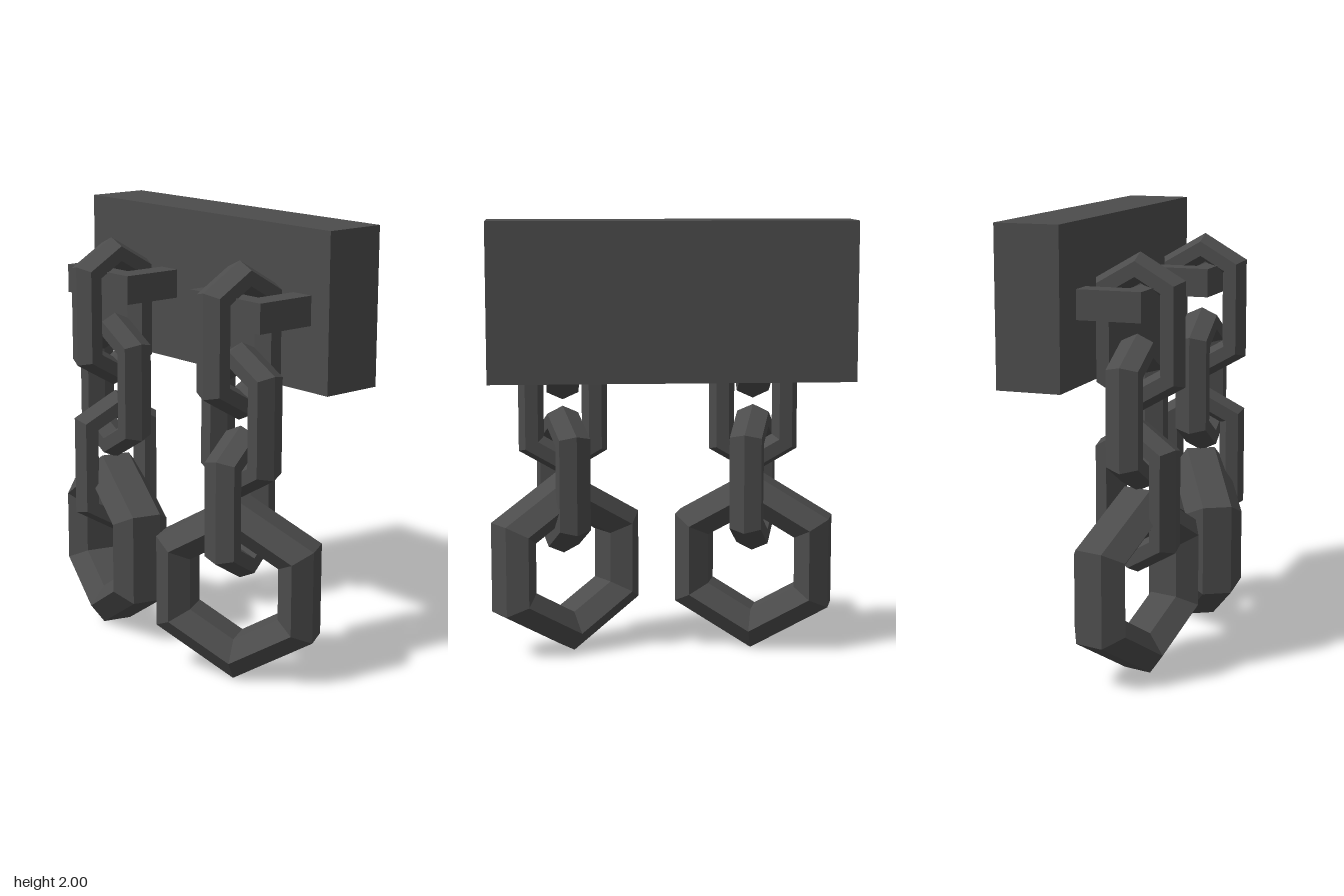
import * as THREE from 'three';

const iron = new THREE.MeshStandardMaterial({ color: 0x4c4c4c, flatShading: true });

// Six-cornered loop swept with a six-sided section; profile points are [radial, depth],
// stretch pulls the upper and lower halves apart
function hexLoop(radius, profile, stretch) {
  const n = profile.length, pos = [], index = [];
  for (let i = 0; i < 6; i++) {
    const a = Math.PI / 6 + (i * Math.PI) / 3;
    for (const [r, z] of profile) {
      pos.push(Math.cos(a) * (radius + r), Math.sin(a) * (radius + r) + Math.sign(Math.sin(a)) * stretch, z);
    }
  }
  for (let i = 0; i < 6; i++) {
    for (let j = 0; j < n; j++) {
      const i2 = (i + 1) % 6, j2 = (j + 1) % n;
      const a = i * n + j, b = i2 * n + j, c = i2 * n + j2, d = i * n + j2;
      index.push(a, b, c, a, c, d);
    }
  }
  const g = new THREE.BufferGeometry();
  g.setAttribute('position', new THREE.Float32BufferAttribute(pos, 3));
  g.setIndex(index);
  const flat = g.toNonIndexed();
  flat.computeVertexNormals();
  return flat;
}

// Hexagonal section: half thickness along the radius, half width, starting angle
function section(radial, width, start) {
  const pts = [];
  const kr = start ? Math.cos(Math.PI / 6) : 1, kw = start ? 1 : Math.cos(Math.PI / 6);
  for (let i = 0; i < 6; i++) {
    const a = start + (i * Math.PI) / 3;
    pts.push([(Math.cos(a) * radial) / kr, (Math.sin(a) * width) / kw]);
  }
  return pts;
}

function part(parent, name, geometry, x, y, z, turn = 0) {
  const m = new THREE.Mesh(geometry, iron);
  m.name = name;
  m.position.set(x, y, z);
  m.rotation.y = turn;
  parent.add(m);
  return m;
}

export function createModel() {
  const model = new THREE.Group();
  model.name = 'wallChains';

  // Mounting block
  part(model, 'wallBlock', new THREE.BoxGeometry(1.61, 0.7, 0.29), -0.005, 1.65, -0.23);

  // Links have a ridged outer edge, the shackle a flat outer edge
  const link = hexLoop(0.168, section(0.067, 0.074, 0), 0.11);
  const shackle = hexLoop(0.324, section(0.091, 0.135, Math.PI / 6), 0);
  const bar = new THREE.BoxGeometry(0.445, 0.13, 0.09);
  const leg = new THREE.BoxGeometry(0.11, 0.13, 0.22);

  const chains = [
    { name: 'rightChain', x: -0.41, twist: -0.3, ring: -0.26, ringX: -0.415 },
    { name: 'leftChain', x: 0.47, twist: 0.3, ring: 0.54, ringX: 0.46 },
  ];
  for (const c of chains) {
    const chain = new THREE.Group();
    chain.name = c.name;
    model.add(chain);

    // Staple holding the top link
    part(chain, 'stapleBar', bar, c.x, 1.652, 0.16);
    for (const s of [-1, 1]) part(chain, 'stapleLeg', leg, c.x + s * 0.1675, 1.652, 0.01);

    // Links alternate a quarter turn
    part(chain, 'topLink', link, c.x, 1.515, 0.12, Math.PI / 2);
    part(chain, 'middleLink', link, c.x, 1.163, 0.105, c.twist * 0.1);
    part(chain, 'lowerLink', link, c.x, 0.797, 0.107, Math.PI / 2 + c.twist);

    // Large hanging ring
    part(chain, 'shackleRing', shackle, c.ringX, 0.415, 0.107, c.ring);
  }
  return model;
}
